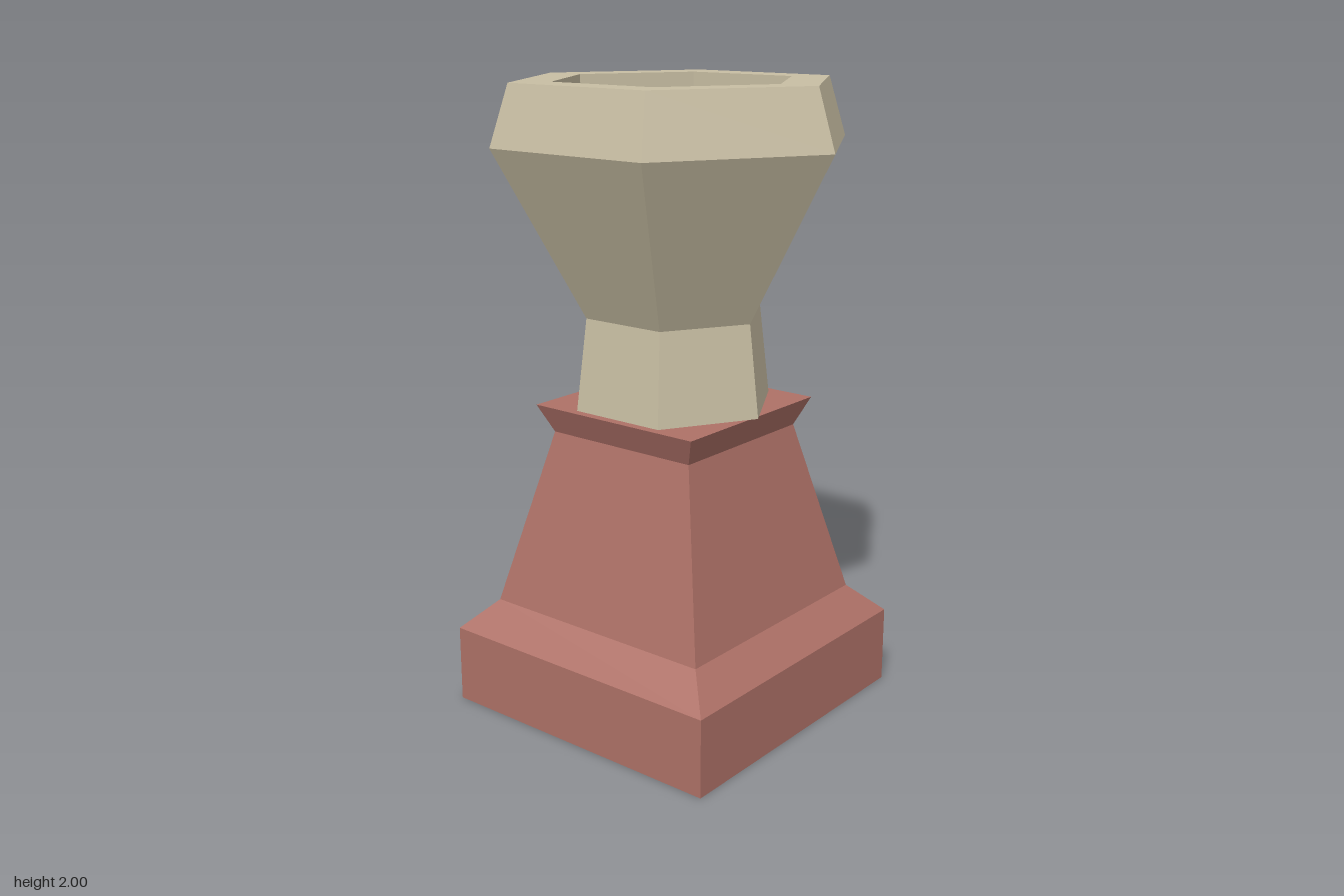
import * as THREE from 'three';

const mat = (name, color) => {
  const m = new THREE.MeshStandardMaterial({ color });
  m.name = name;
  return m;
};

// Flat-faced body with a regular polygon plan, from a [radius, height] profile
function facetedBody(name, profile, sides, phase, material) {
  const points = profile.map(([r, y]) => new THREE.Vector2(r, y));
  const geo = new THREE.LatheGeometry(points, sides, phase).toNonIndexed();
  geo.computeVertexNormals();
  const mesh = new THREE.Mesh(geo, material);
  mesh.name = name;
  return mesh;
}

// Planting patches: [x, z, half width, half depth]
const lightLeaves = [
  [-0.27, -0.06, 0.1, 0.12], [-0.13, -0.13, 0.14, 0.13], [0.03, -0.14, 0.17, 0.13],
  [0.2, -0.06, 0.14, 0.16], [0, 0.02, 0.24, 0.13], [0.16, 0.1, 0.12, 0.13],
  [-0.19, 0.21, 0.05, 0.04], [0.02, 0.24, 0.07, 0.04], [0.2, 0.24, 0.05, 0.04],
  [-0.09, 0.17, 0.05, 0.06], [-0.24, 0.09, 0.05, 0.08],
];
const darkLeaves = [
  [-0.18, -0.06, 0.03, 0.03], [-0.23, -0.12, 0.03, 0.05], [-0.1, -0.2, 0.05, 0.03],
  [0.11, -0.18, 0.04, 0.04], [-0.03, -0.13, 0.03, 0.03], [0.29, 0.07, 0.045, 0.045],
  [-0.09, 0.06, 0.03, 0.035], [0.05, 0.14, 0.025, 0.04], [0.12, 0.1, 0.03, 0.03],
  [0, 0.2, 0.05, 0.025], [0.2, -0.03, 0.04, 0.03], [-0.29, 0.09, 0.03, 0.04],
];
const paleBlooms = [
  [-0.05, -0.245, 0.035, 0.022], [-0.08, -0.225, 0.03, 0.02], [0.11, -0.235, 0.035, 0.03],
  [0.16, -0.185, 0.045, 0.045], [0.235, -0.145, 0.03, 0.03], [-0.185, -0.135, 0.042, 0.038],
  [-0.205, -0.1, 0.032, 0.025], [-0.315, 0.045, 0.017, 0.03], [-0.17, 0.1, 0.065, 0.05],
  [-0.14, 0.13, 0.05, 0.042], [0.18, 0.135, 0.055, 0.045], [0.145, 0.16, 0.04, 0.043],
  [-0.13, 0.22, 0.045, 0.02], [-0.125, 0.245, 0.025, 0.02], [0.08, 0.265, 0.06, 0.027],
];
const pinkBlooms = [[0, -0.125, 0.046, 0.05], [0.2, -0.015, 0.032, 0.032], [0, 0.155, 0.047, 0.048]];
const inside = (patches, x, z, power) => patches.some(([cx, cz, rx, rz]) =>
  Math.abs((x - cx) / rx) ** power + Math.abs((z - cz) / rz) ** power < 1);

function patchAt(x, z) {
  if (inside(pinkBlooms, x, z, 4)) return 'pinkBlooms';
  if (inside(paleBlooms, x, z, 2.5)) return 'paleBlooms';
  if (inside(darkLeaves, x, z, 2)) return 'darkLeaves';
  return inside(lightLeaves, x, z, 2) ? 'lightLeaves' : 'darkLeaves';
}

// Low six-sided mound, cut into small triangles that are sorted by patch
function planting(materials) {
  const n = 50, radius = 0.385, edgeY = 1.85, apexY = 1.94;
  const buckets = {};
  for (let k = 0; k < 6; k++) {
    const corner = a => new THREE.Vector3(radius * Math.sin(a), edgeY - apexY, radius * Math.cos(a));
    const b = corner(Math.PI / 6 + k * Math.PI / 3);
    const side = corner(Math.PI / 6 + (k + 1) * Math.PI / 3).sub(b);
    const at = (i, j) => new THREE.Vector3(0, apexY, 0).addScaledVector(b, i / n).addScaledVector(side, j / n);
    const add = (...tri) => {
      const x = (tri[0].x + tri[1].x + tri[2].x) / 3;
      const z = (tri[0].z + tri[1].z + tri[2].z) / 3;
      (buckets[patchAt(x, z)] ??= []).push(...tri);
    };
    for (let i = 0; i < n; i++) {
      for (let j = 0; j <= i; j++) {
        add(at(i, j), at(i + 1, j), at(i + 1, j + 1));
        if (j < i) add(at(i, j), at(i + 1, j + 1), at(i, j + 1));
      }
    }
  }
  const group = new THREE.Group();
  group.name = 'planting';
  for (const [name, points] of Object.entries(buckets)) {
    const geo = new THREE.BufferGeometry().setFromPoints(points);
    geo.computeVertexNormals();
    const mesh = new THREE.Mesh(geo, materials[name]);
    mesh.name = name;
    group.add(mesh);
  }
  return group;
}

export function createModel() {
  const brick = mat('brick', 0xae7167);
  const stone = mat('stone', 0xc8bea3);
  const model = new THREE.Group();
  model.name = 'planterOnPedestal';

  // Square pedestal: plinth, chamfer, tapered shaft and flared cap
  const q = Math.SQRT2;
  model.add(facetedBody('pedestal', [
    [0, 0], [0.5 * q, 0], [0.5 * q, 0.25], [0.405 * q, 0.345], [0.27 * q, 0.91], [0.31 * q, 1], [0, 1],
  ], 4, Math.PI / 4, brick));

  // Six-sided urn: foot, flared bowl, rim and the inner wall
  model.add(facetedBody('urn', [
    [0, 1], [0.325, 1], [0.29, 1.29], [0.575, 1.815], [0.515, 2], [0.385, 2], [0.385, 1.84],
  ], 6, Math.PI / 6, stone));

  // Leaves and blooms inside the rim
  model.add(planting({
    lightLeaves: mat('lightGreen', 0x688f2e),
    darkLeaves: mat('darkGreen', 0x4a7433),
    paleBlooms: stone,
    pinkBlooms: mat('pink', 0xb56f69),
  }));
  return model;
}
